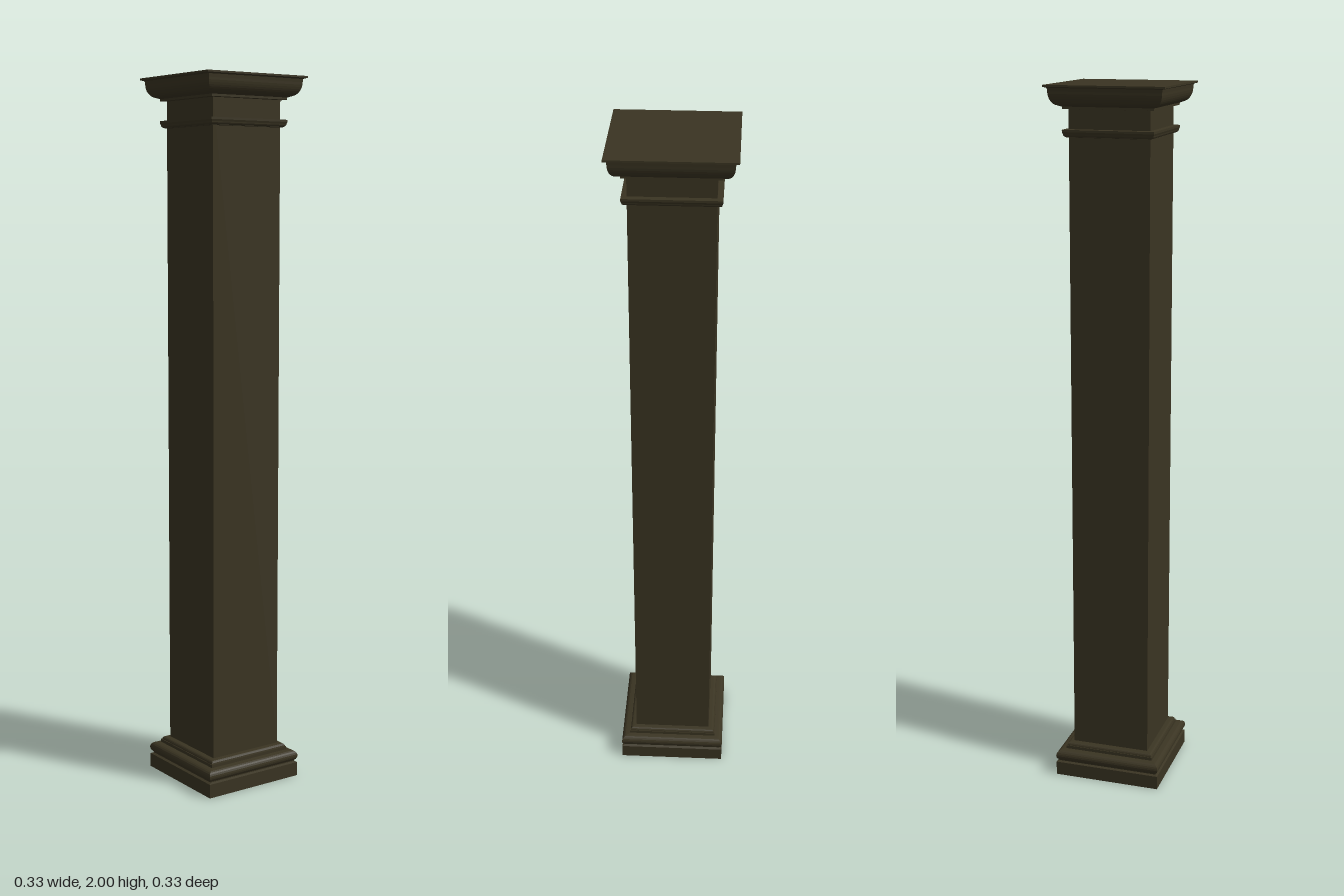
import * as THREE from 'three';

const material = new THREE.MeshStandardMaterial({ color: 0x3a3422, side: THREE.DoubleSide });
const SHAFT = 0.1125; // half width of the shaft

// Sweep a [half width, height] profile round a square plan with mitred corners
function squareMoulding(name, profile) {
  const points = profile.map(([w, y]) => new THREE.Vector2(w * Math.SQRT2, y));
  const geometry = new THREE.LatheGeometry(points, 4, Math.PI / 4).toNonIndexed();
  geometry.computeVertexNormals();
  const mesh = new THREE.Mesh(geometry, material);
  mesh.name = name;
  return mesh;
}

// Points along an elliptical arc, angles in degrees
function arc(cx, cy, rx, ry, from, to, steps = 8) {
  return Array.from({ length: steps + 1 }, (_, i) => {
    const a = THREE.MathUtils.degToRad(from + ((to - from) * i) / steps);
    return [cx + rx * Math.cos(a), cy + ry * Math.sin(a)];
  });
}

export function createModel() {
  const group = new THREE.Group();
  group.name = 'squareColumn';

  // Hollow base: plinth, rounded moulding and a small fillet, open underneath
  group.add(squareMoulding('base', [
    [0.155, 0], [0.155, 0.04], [0.148, 0.043],
    ...arc(0.141, 0.06, 0.015, 0.016, -60, 90),
    [0.132, 0.077], [0.132, 0.086],
    ...arc(0.122, 0.086, 0.008, 0.009, 0, 90, 4),
    [SHAFT, 0.096],
  ]));

  // Plain shaft, open at the bottom
  group.add(squareMoulding('shaft', [[SHAFT, 0.096], [SHAFT, 1.936]]));

  // Narrow ring round the neck
  group.add(squareMoulding('neckRing', [
    [SHAFT, 1.862], [0.118, 1.863],
    ...arc(0.118, 1.872, 0.007, 0.008, -90, 0, 4),
    [0.127, 1.877], [0.127, 1.883], [SHAFT, 1.884],
  ]));

  // Capital: fillet, swelling moulding and thin top slab
  group.add(squareMoulding('capital', [
    [SHAFT, 1.936], [0.126, 1.937], [0.126, 1.943], [0.132, 1.945],
    ...arc(0.132, 1.983, 0.024, 0.037, -80, 0),
    [0.157, 1.992], [0.166, 1.995], [0.166, 2], [0, 2],
  ]));

  return group;
}
